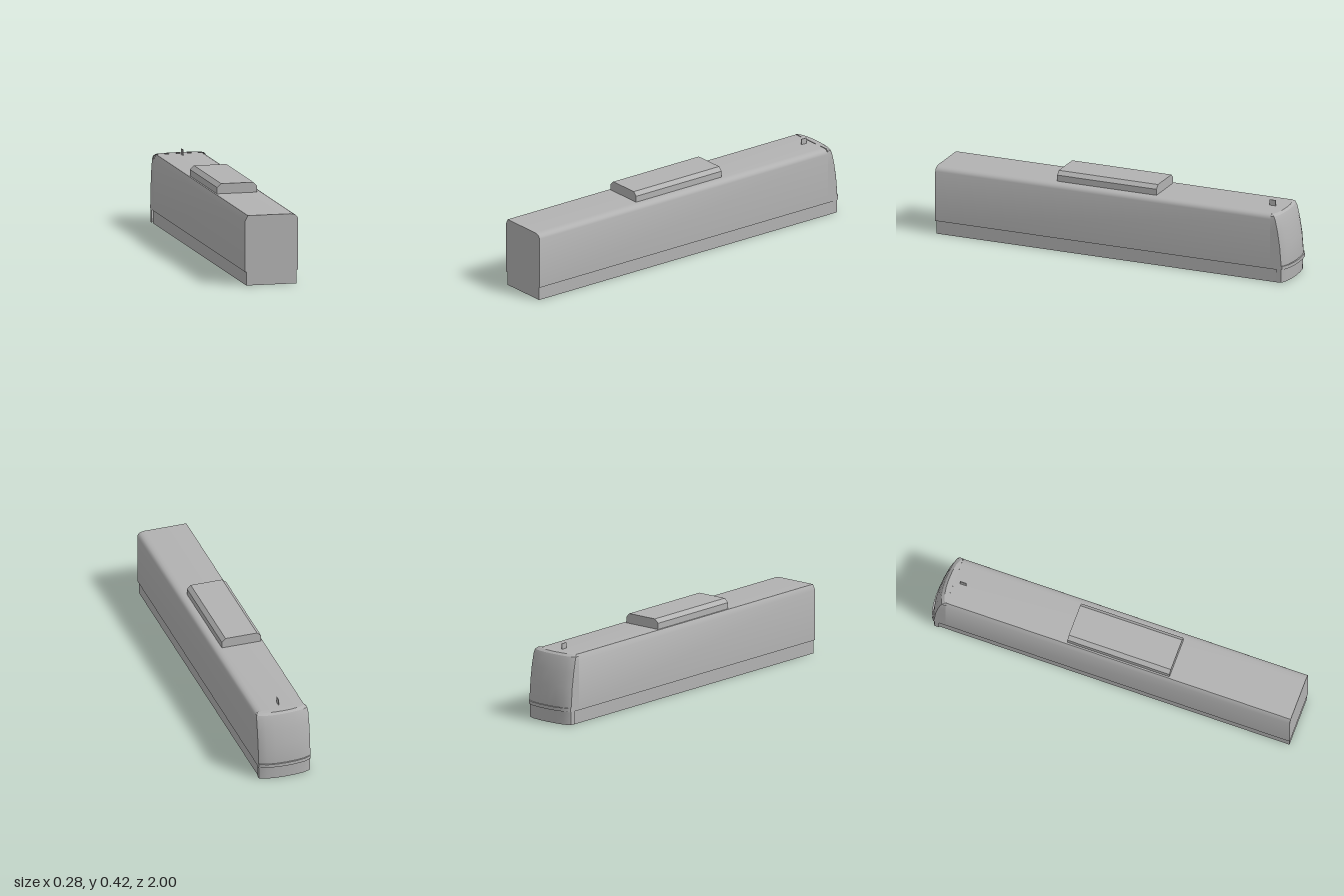
import * as THREE from 'three';
import { toCreasedNormals } from 'three/addons/utils/BufferGeometryUtils.js';

const grey = new THREE.MeshStandardMaterial({ color: 0xb2b2b2, side: THREE.DoubleSide });
grey.name = 'light grey';

function add(group, name, geometry) {
  const mesh = new THREE.Mesh(geometry, grey);
  mesh.name = name;
  group.add(mesh);
  return mesh;
}

// Extrude an x-y section along z between two stations
function extrudeZ(points, zBack, zFront) {
  const shape = new THREE.Shape(points.map(([x, y]) => new THREE.Vector2(x, y)));
  const g = new THREE.ExtrudeGeometry(shape, { depth: zFront - zBack, bevelEnabled: false });
  return toCreasedNormals(g.translate(0, 0, zBack), 0.5);
}

// Curved cab end: each level is [y, half width, z at the corner, z at the centre]
function cabShell(levels, zStart) {
  const across = [1, 0.93, 0.72, 0.38, 0, -0.38, -0.72, -0.93, -1];
  const rows = levels.map(([y, w, zEdge, zMid]) => [
    [w, y, zStart],
    ...across.map((t) => [w * t, y, zMid + (zEdge - zMid) * (0.6 * t * t + 0.4 * t ** 8)]),
    [-w, y, zStart],
  ]);
  const pos = [];
  for (let i = 0; i < rows.length - 1; i++) {
    for (let j = 0; j < rows[i].length - 1; j++) {
      const a = rows[i][j], b = rows[i][j + 1], c = rows[i + 1][j + 1], d = rows[i + 1][j];
      pos.push(...a, ...b, ...c, ...a, ...c, ...d);
    }
  }
  const g = new THREE.BufferGeometry();
  g.setAttribute('position', new THREE.Float32BufferAttribute(pos, 3));
  return toCreasedNormals(g, 0.35);
}

export function createModel() {
  const car = new THREE.Group();
  car.name = 'railCar';

  // Long body, chamfered on one roof edge and rounded on the other
  add(car, 'body', extrudeZ([
    [-0.142, 0.072], [0.142, 0.072], [0.142, 0.343], [0.138, 0.354], [0.13, 0.362],
    [0.118, 0.367], [0.1, 0.369], [-0.127, 0.369], [-0.142, 0.34],
  ], -0.9, 1));

  // Cab end with raked windscreen, closed over the roof and under the floor
  add(car, 'cab', cabShell([
    [0.072, 0.142, -0.9, -0.9],
    [0.072, 0.142, -0.962, -0.99],
    [0.1, 0.142, -0.962, -0.992],
    [0.2, 0.142, -0.954, -0.984],
    [0.28, 0.142, -0.942, -0.968],
    [0.343, 0.141, -0.928, -0.952],
    [0.36, 0.138, -0.92, -0.945],
    [0.37, 0.128, -0.905, -0.932],
    [0.37, 0.12, -0.9, -0.9],
  ], -0.9));

  // Bumper ledge
  add(car, 'bumper', cabShell([
    [0.076, 0.141, -0.93, -0.95],
    [0.076, 0.142, -0.967, -1],
    [0.094, 0.142, -0.967, -1],
    [0.094, 0.141, -0.93, -0.95],
  ], -0.93));

  // Open skirt: two side walls, end wall and curved cab apron
  for (const s of [1, -1]) {
    const wall = add(car, s > 0 ? 'leftSkirt' : 'rightSkirt', new THREE.PlaneGeometry(1.935, 0.074));
    wall.rotation.y = s * Math.PI / 2;
    wall.position.set(s * 0.134, 0.037, 0.0285);
  }
  add(car, 'endSkirt', new THREE.PlaneGeometry(0.268, 0.074)).position.set(0, 0.037, 0.996);
  add(car, 'cabSkirt', cabShell([
    [0.003, 0.14, -0.96, -0.985],
    [0.074, 0.141, -0.961, -0.988],
  ], -0.935));

  // Roof equipment box, slightly off centre
  add(car, 'roofUnit', extrudeZ([
    [-0.118, 0.366], [0.097, 0.366], [0.097, 0.402], [0.077, 0.422], [-0.096, 0.422], [-0.118, 0.402],
  ], -0.235, 0.328));

  // Small antenna fin above the cab
  add(car, 'antenna', new THREE.BoxGeometry(0.004, 0.031, 0.034)).position.set(0, 0.384, -0.852);

  return car;
}
